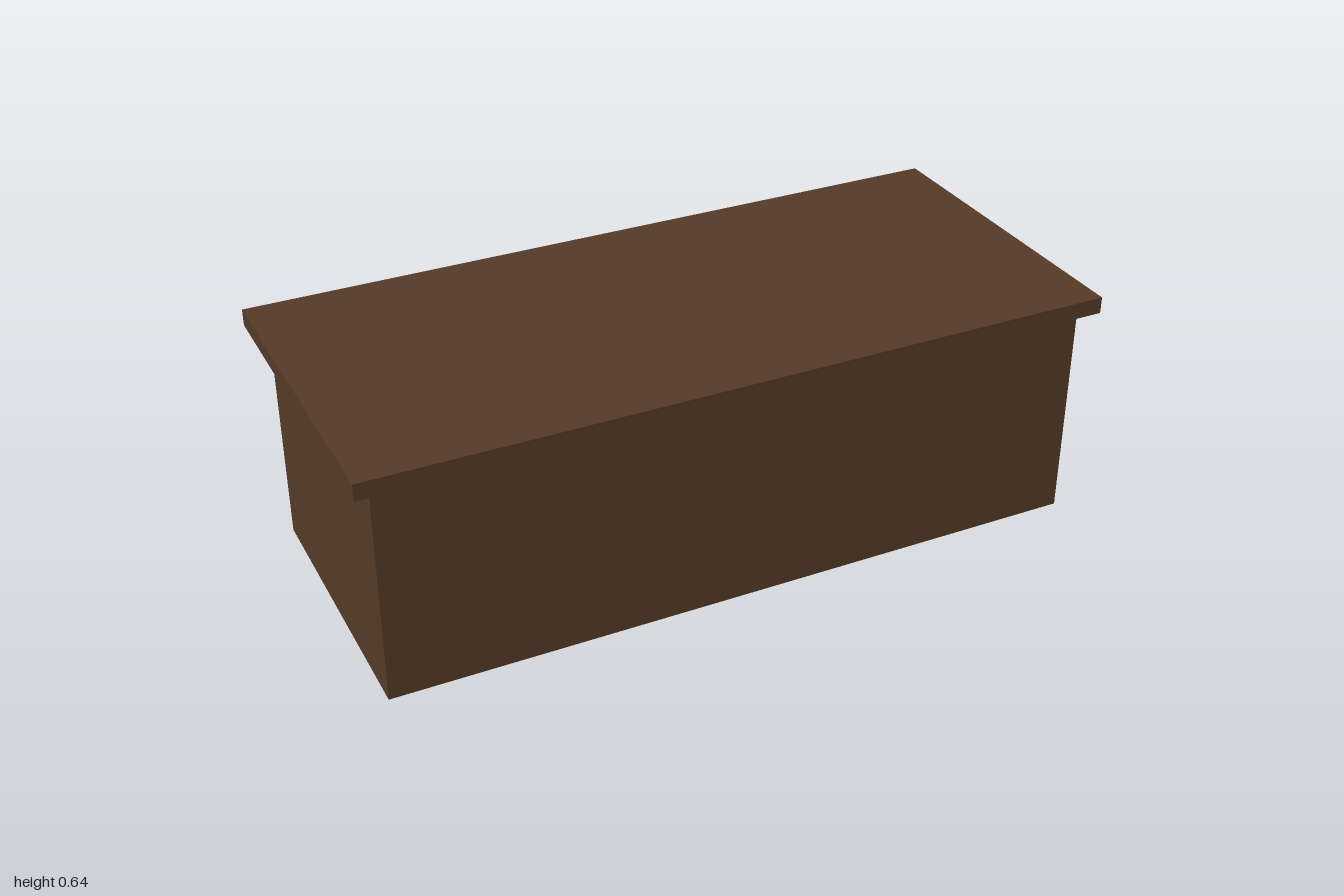
import * as THREE from 'three';

export function createModel() {
  const desk = new THREE.Group();
  desk.name = 'desk';
  const wood = new THREE.MeshStandardMaterial({ color: 0x553a27 });
  wood.name = 'dark brown wood';

  // Box given by its minimum and maximum corners
  function board(name, [x0, y0, z0], [x1, y1, z1]) {
    const geometry = new THREE.BoxGeometry(x1 - x0, y1 - y0, z1 - z0);
    const mesh = new THREE.Mesh(geometry, wood);
    mesh.name = name;
    mesh.position.set((x0 + x1) / 2, (y0 + y1) / 2, (z0 + z1) / 2);
    desk.add(mesh);
  }

  const height = 0.598;   // underside of the top
  const outer = 0.955;    // outer face of the sides
  const inner = 0.877;    // inner face of the sides
  const back = -0.375;    // rear edge of the sides
  const panelBack = 0.34; // inner face of the front panel

  // Overhanging top
  board('desktop', [-1, height, -0.45], [1, 0.643, 0.45]);

  // Full-width modesty panel
  board('frontPanel', [-outer, 0, panelBack], [outer, height, 0.414]);

  // Side panels
  board('leftSide', [inner, 0, back], [outer, height, panelBack]);
  board('rightSide', [-outer, 0, back], [-inner, height, panelBack]);

  // Drawer block beside the knee space, stopping short of the front panel
  board('drawerPedestal', [0.29, 0, back], [inner, height, 0.2]);

  return desk;
}
